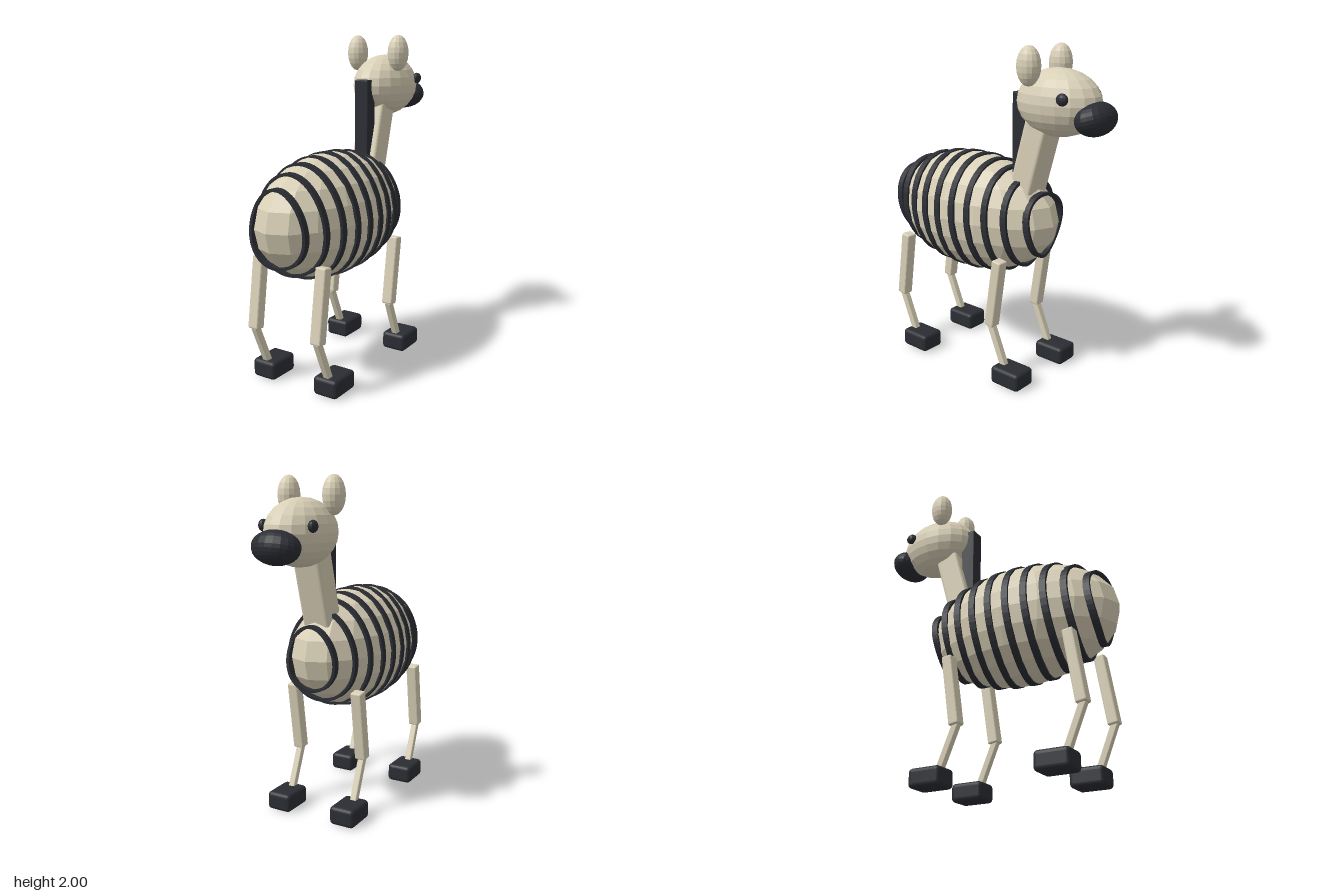
import * as THREE from 'three';
import { RoundedBoxGeometry } from 'three/addons/geometries/RoundedBoxGeometry.js';

const cream = new THREE.MeshStandardMaterial({ color: 0xd8cfb6, flatShading: true });
const black = new THREE.MeshStandardMaterial({ color: 0x2a2d33, flatShading: true });

function add(parent, name, geometry, material, x, y, z) {
  const mesh = new THREE.Mesh(geometry, material);
  mesh.name = name;
  mesh.position.set(x, y, z);
  parent.add(mesh);
  return mesh;
}

function ellipsoid(rx, ry, rz, w = 16, h = 10) {
  return new THREE.SphereGeometry(1, w, h).scale(rx, ry, rz);
}

// Rounded bar running between two points in a plane of constant x
function bar(parent, name, x, [y0, z0], [y1, z1], width, depth, radius) {
  const length = Math.hypot(y1 - y0, z1 - z0);
  const mesh = add(parent, name, new RoundedBoxGeometry(width, length, depth, 2, radius), cream,
    x, (y0 + y1) / 2, (z0 + z1) / 2);
  mesh.rotation.x = Math.atan2(z1 - z0, y1 - y0);
  return mesh;
}

const BODY = { y: 0.965, z: 0.183, rx: 0.302, ry: 0.365, rz: 0.61 };

// Closed wavy band with a rectangular section, wrapped round the body
function stripeGeometry(z0) {
  const t = (z0 - BODY.z) / BODY.rz;
  const fit = Math.sqrt(1 - 0.95 * t * t);
  const section = [[0.006, -0.02], [0.006, 0.02], [-0.012, 0.02], [-0.012, -0.02]];
  const steps = 48, position = [], index = [];
  for (let i = 0; i < steps; i++) {
    const a = (i / steps) * Math.PI * 2;
    for (const [out, along] of section) {
      position.push(Math.cos(a) * (BODY.rx * fit + out), Math.sin(a) * (BODY.ry * fit + out),
        along + 0.018 * Math.sin(2 * a));
    }
    for (let k = 0; k < 4; k++) {
      const p = i * 4 + k, q = i * 4 + (k + 1) % 4;
      const r = ((i + 1) % steps) * 4 + k, s = ((i + 1) % steps) * 4 + (k + 1) % 4;
      index.push(p, r, q, q, r, s);
    }
  }
  const geometry = new THREE.BufferGeometry();
  geometry.setAttribute('position', new THREE.Float32BufferAttribute(position, 3));
  geometry.setIndex(index);
  geometry.computeVertexNormals();
  return geometry;
}

export function createModel() {
  const model = new THREE.Group();
  model.name = 'stripedAnimal';

  // Body and stripes
  add(model, 'body', ellipsoid(BODY.rx, BODY.ry, BODY.rz), cream, 0, BODY.y, BODY.z);
  const stripes = new THREE.Group();
  stripes.name = 'stripes';
  model.add(stripes);
  for (let i = 0; i < 10; i++) {
    const z = 0.68 - 0.1145 * i;
    add(stripes, 'stripe', stripeGeometry(z), black, 0, BODY.y, z);
  }

  // Neck and mane
  bar(model, 'neck', 0, [1.12, -0.22], [1.62, -0.36], 0.172, 0.155, 0.02);
  add(model, 'mane', new RoundedBoxGeometry(0.094, 0.53, 0.09, 2, 0.008), black, 0, 1.465, -0.195);

  // Head
  const head = new THREE.Group();
  head.name = 'head';
  model.add(head);
  add(head, 'skull', ellipsoid(0.176, 0.19, 0.265, 18, 12), cream, 0, 1.69, -0.445);
  const muzzle = add(head, 'muzzle', ellipsoid(0.143, 0.094, 0.106, 20, 14), black, 0, 1.622, -0.688);
  muzzle.rotation.x = 0.3;
  for (const side of [-1, 1]) {
    add(head, 'eye', ellipsoid(0.025, 0.034, 0.036, 12, 8), black, side * 0.157, 1.73, -0.577);
    add(head, 'ear', ellipsoid(0.063, 0.11, 0.071, 14, 10), cream, side * 0.146, 1.89, -0.345);
  }

  // Legs and hooves
  for (const [place, z] of [['rear', 0], ['front', -0.775]]) {
    for (const side of [-1, 1]) {
      const leg = new THREE.Group();
      leg.name = place + 'Leg';
      leg.position.set(side * 0.219, 0, z);
      model.add(leg);
      bar(leg, 'upperLeg', 0, [0.34, 0.634], [0.765, 0.572], 0.07, 0.066, 0.01);
      bar(leg, 'lowerLeg', 0, [0.07, 0.52], [0.35, 0.638], 0.04, 0.04, 0.006);
      add(leg, 'hoof', new RoundedBoxGeometry(0.16, 0.112, 0.208, 3, 0.025), black, 0, 0.056, 0.475);
    }
  }
  return model;
}
